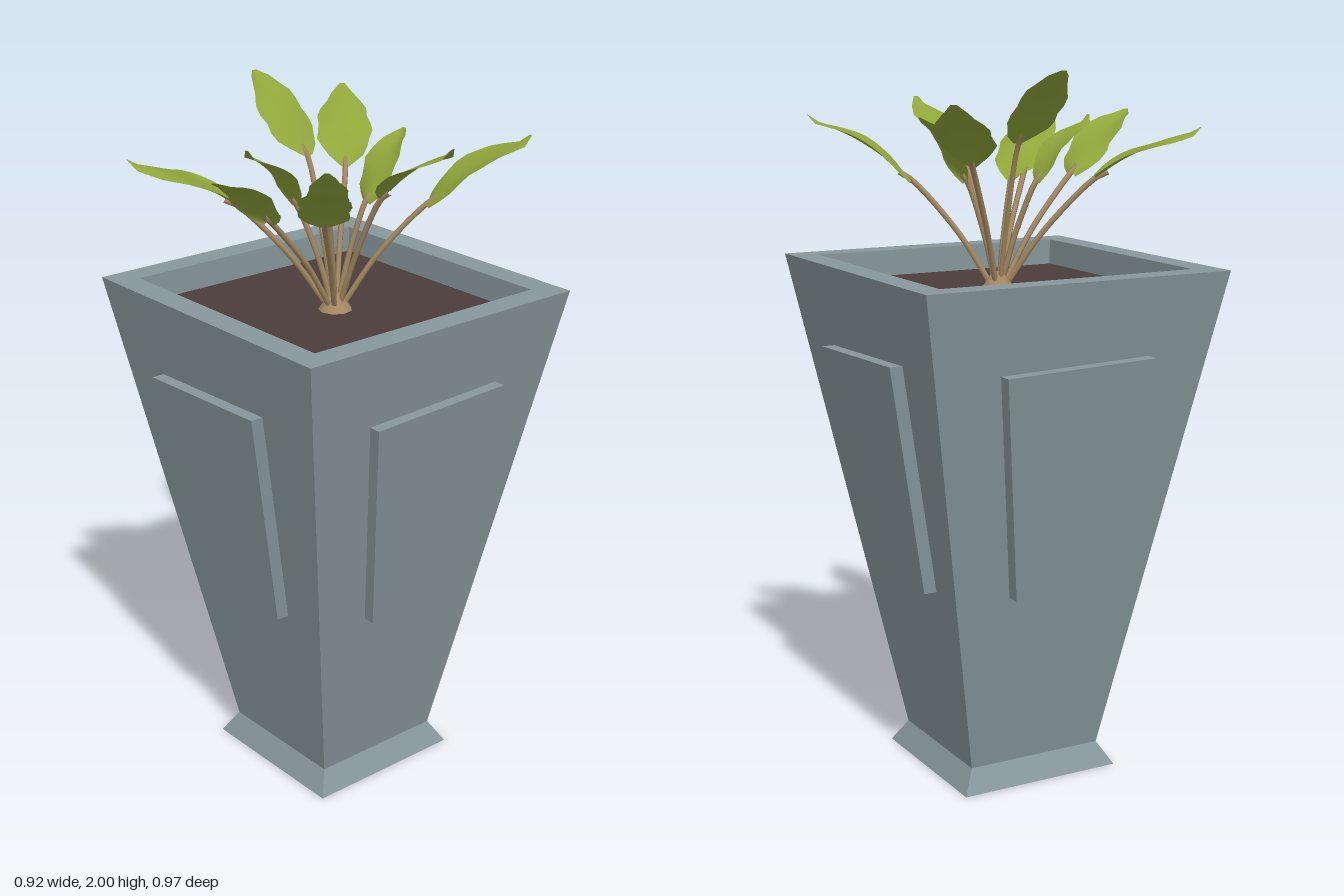
import * as THREE from 'three';

const mat = (name, color, double = false) => {
  const m = new THREE.MeshStandardMaterial({ color });
  m.name = name;
  if (double) m.side = THREE.DoubleSide;
  return m;
};

const CZ = -0.023; // centre of the pot in z
const wall = (y) => 0.205 + 0.255 * (y - 0.065) / 1.4; // half width of the tapered body

// Square solid from a half-width / height profile
function squareLathe(profile) {
  const pts = profile.map(([h, y]) => new THREE.Vector2(h * Math.SQRT2, y));
  const g = new THREE.LatheGeometry(pts, 4, Math.PI / 4).toNonIndexed();
  g.computeVertexNormals();
  return g;
}

// Raised panel: a box whose corners follow the sloping wall
function panelGeometry() {
  const g = new THREE.BoxGeometry(1, 1, 1);
  const p = g.attributes.position;
  for (let i = 0; i < p.count; i++) {
    const right = p.getX(i) > 0, top = p.getY(i) > 0, outer = p.getZ(i) > 0;
    const x = top ? (right ? 0.224 : -0.226) : (right ? 0.174 : -0.136);
    const y = top ? (right ? 1.245 : 1.23) : (right ? 0.595 : 0.585);
    p.setXYZ(i, x, y, wall(y) + (outer ? 0.037 : -0.02));
  }
  g.computeVertexNormals();
  return g;
}

// Broad wavy leaf blade from base to tip, gently cupped and bowed
const OUTLINE = [0.2, 0.62, 0.86, 0.95, 0.98, 1, 0.93, 0.82, 0.62, 0.4, 0.1];
function leafGeometry(base, tip, halfWidth, seed) {
  const cols = 6, rows = OUTLINE.length - 1;
  const dir = tip.clone().sub(base);
  const side = new THREE.Vector3(dir.z, 0, -dir.x).normalize();
  const up = dir.clone().cross(side).normalize();
  const pos = [], index = [];
  for (let r = 0; r <= rows; r++) {
    const t = r / rows;
    for (let c = 0; c <= cols; c++) {
      const s = (c / cols) * 2 - 1;
      const ripple = 1 + 0.07 * Math.sin(r * 1.9 + seed + (s > 0 ? 2 : 0));
      const across = halfWidth * OUTLINE[r] * s * ripple;
      const lift = 0.018 * Math.sin(Math.PI * t) + 0.012 * s * s * Math.cos(t * 5 + seed) - 0.008 * t * t;
      const v = base.clone().addScaledVector(dir, t).addScaledVector(side, across).addScaledVector(up, lift * (r === rows ? 0 : 1));
      pos.push(v.x, v.y, v.z);
      if (r < rows && c < cols) {
        const a = r * (cols + 1) + c, b = a + cols + 1;
        index.push(a, b, a + 1, a + 1, b, b + 1);
      }
    }
  }
  const g = new THREE.BufferGeometry();
  g.setAttribute('position', new THREE.Float32BufferAttribute(pos, 3));
  g.setIndex(index);
  g.computeVertexNormals();
  return g;
}

// Leaf base, leaf tip and half width
const LEAVES = [
  [[-0.135, 1.74, -0.18], [-0.345, 1.92, -0.345], 0.077],
  [[-0.125, 1.8, -0.035], [-0.355, 2.0, -0.03], 0.075],
  [[0.03, 1.69, -0.11], [0.015, 1.87, -0.265], 0.056],
  [[0.155, 1.69, -0.22], [0.3, 1.87, -0.47], 0.075],
  [[0.165, 1.74, -0.05], [0.39, 1.91, -0.09], 0.068],
  [[0.055, 1.68, 0.04], [0.19, 1.85, 0.16], 0.055],
  [[0.17, 1.7, 0.15], [0.385, 1.87, 0.33], 0.068],
  [[0.035, 1.7, 0.225], [0.145, 1.87, 0.48], 0.07],
  [[-0.07, 1.69, 0.05], [-0.06, 1.87, 0.225], 0.056],
  [[-0.14, 1.7, 0.2], [-0.28, 1.84, 0.455], 0.076],
];

export function createModel() {
  const stone = mat('greyStone', 0x87979b);
  const earth = mat('darkSoil', 0x4a3c3a);
  const bark = mat('brownStem', 0xa58a62);
  const green = mat('leafGreen', 0x8fa63a, true);

  const root = new THREE.Group();
  root.name = 'pottedPlant';
  const add = (parent, name, geometry, material) => {
    const m = new THREE.Mesh(geometry, material);
    m.name = name;
    parent.add(m);
    return m;
  };

  // Tapered square pot with a flared hollow foot and an open rim
  const pot = new THREE.Group();
  pot.name = 'pot';
  pot.position.z = CZ;
  root.add(pot);
  add(pot, 'potBody', squareLathe([
    [0.165, 0.06], [0.165, 0], [0.243, 0], [0.205, 0.065],
    [0.46, 1.465], [0.385, 1.465], [0.385, 1.38],
  ]), stone);
  const underside = add(pot, 'footUnderside', new THREE.PlaneGeometry(0.33, 0.33), stone);
  underside.rotation.x = Math.PI / 2;
  underside.position.y = 0.06;
  const soil = add(pot, 'soil', new THREE.PlaneGeometry(0.77, 0.77), earth);
  soil.rotation.x = -Math.PI / 2;
  soil.position.y = 1.39;

  // One raised panel on each side
  const panel = panelGeometry();
  for (let i = 0; i < 4; i++) {
    const p = add(pot, 'sidePanel', panel, stone);
    p.rotation.y = i * Math.PI / 2;
    p.position.x = i % 2 ? -0.003 : -0.011;
  }

  // Plant: root collar, curved stems and leaves
  const plant = new THREE.Group();
  plant.name = 'plant';
  root.add(plant);
  const collar = add(plant, 'rootCollar', new THREE.CylinderGeometry(0.018, 0.05, 0.05, 9), bark);
  collar.position.set(0, 1.412, -0.03);

  LEAVES.forEach(([b, t, w], i) => {
    const base = new THREE.Vector3(...b), tip = new THREE.Vector3(...t);
    const foot = new THREE.Vector3(b[0] * 0.08, 1.4, -0.03 + (b[2] + 0.03) * 0.08);
    const mid = foot.clone().lerp(base, 0.42);
    mid.y += 0.025;
    const end = base.clone().lerp(tip, 0.12);
    const curve = new THREE.CatmullRomCurve3([foot, mid, base, end]);
    add(plant, 'stem', new THREE.TubeGeometry(curve, 12, 0.008, 6), bark);
    add(plant, 'leaf', leafGeometry(base, tip, w, i * 1.3), green);
  });

  return root;
}
